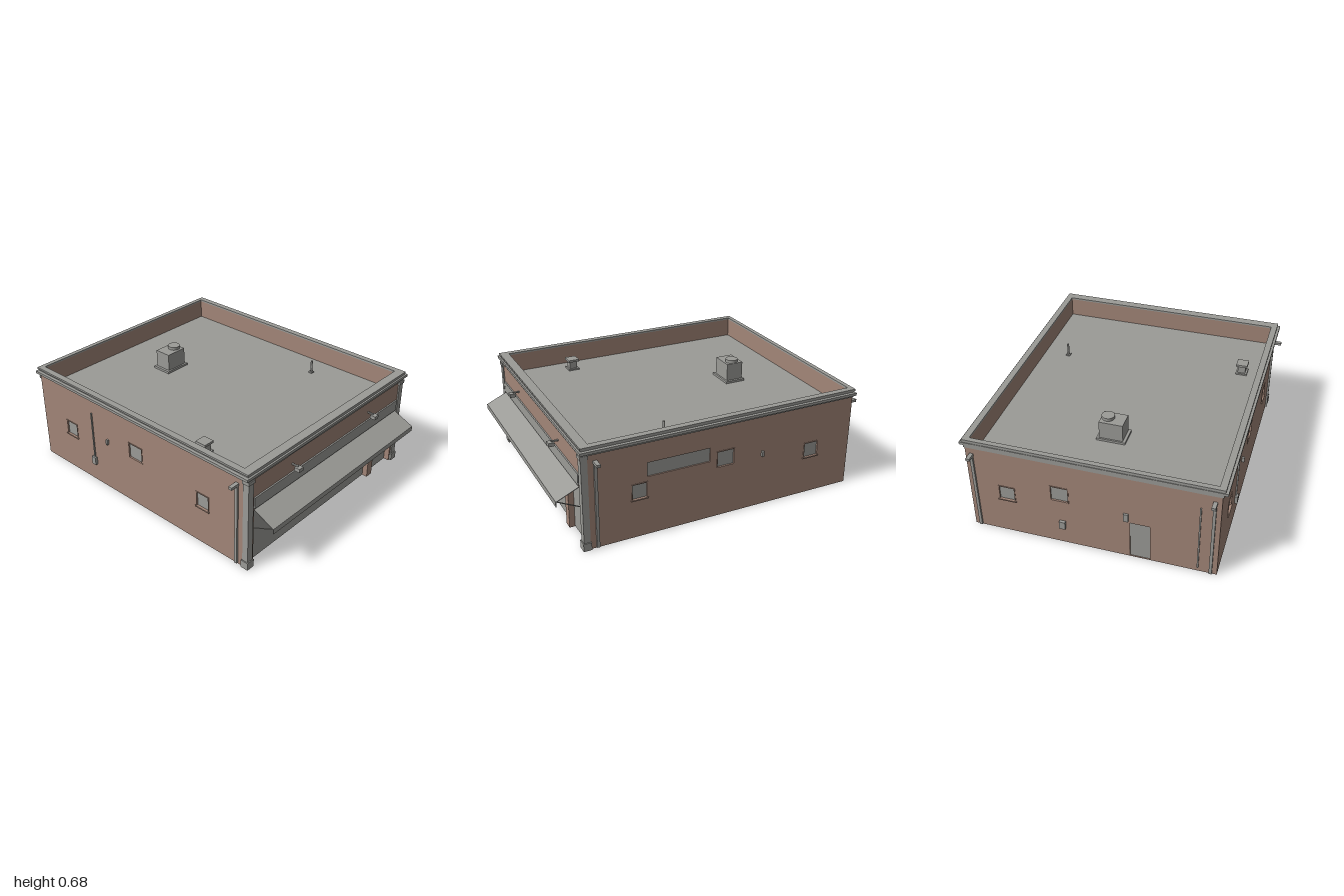
import * as THREE from 'three';

const grey = new THREE.MeshStandardMaterial({ color: 0x9b9b97, side: THREE.DoubleSide });
grey.name = 'grey';
const brick = new THREE.MeshStandardMaterial({ color: 0xa28678 });
brick.name = 'brick';

// Outer and inner wall faces
const XO = 0.765, XI = 0.74, ZB = -0.945, ZBI = -0.92, ZF = 0.857, ZFI = 0.81, WALL_TOP = 0.65;

function add(parent, name, geo, mat, x = 0, y = 0, z = 0) {
  const m = new THREE.Mesh(geo, mat);
  m.name = name;
  m.position.set(x, y, z);
  parent.add(m);
  return m;
}

// Box given by its limits
function box(parent, name, mat, x0, x1, y0, y1, z0, z1) {
  const geo = new THREE.BoxGeometry(Math.abs(x1 - x0), y1 - y0, Math.abs(z1 - z0));
  return add(parent, name, geo, mat, (x0 + x1) / 2, (y0 + y1) / 2, (z0 + z1) / 2);
}

// Box on a wall: u runs along the wall, d is the distance out from its face
function wallBox(parent, name, mat, side, u0, u1, y0, y1, d0, d1) {
  if (side === 'back') return box(parent, name, mat, u0, u1, y0, y1, ZB - d0, ZB - d1);
  const s = side === 'right' ? 1 : -1;
  return box(parent, name, mat, s * (XO + d0), s * (XO + d1), y0, y1, u0, u1);
}

function rect(Type, u0, u1, v0, v1) {
  const p = new Type();
  p.moveTo(u0, v0);
  p.lineTo(u1, v0);
  p.lineTo(u1, v1);
  p.lineTo(u0, v1);
  p.closePath();
  return p;
}

function plate(outer, holes, depth) {
  const s = rect(THREE.Shape, ...outer);
  s.holes = holes.map((h) => rect(THREE.Path, ...h));
  return new THREE.ExtrudeGeometry(s, { depth, bevelEnabled: false });
}

// Horizontal frame running round the building
function ring(parent, name, xo, z0, z1, xi, zi0, zi1, y0, y1) {
  const geo = plate([-xo, xo, -z1, -z0], [[-xi, xi, -zi1, -zi0]], y1 - y0);
  geo.rotateX(-Math.PI / 2);
  add(parent, name, geo, grey, 0, y0, 0);
}

// Openings: [u0, u1, y0, y1, kind]
const sideWindows = [
  [0.47, 0.56, 0.255, 0.35, 'sill'],
  [-0.10, 0.01, 0.335, 0.435, 'framed'],
  [-0.705, -0.61, 0.255, 0.35, 'sill'],
];
const openings = {
  right: [...sideWindows, [0.06, 0.465, 0.385, 0.475, 'plain']],
  left: sideWindows,
  back: [
    [0.48, 0.575, 0.255, 0.35, 'sill'],
    [0.14, 0.245, 0.33, 0.43, 'framed'],
    [-0.36, -0.237, 0.002, 0.27, 'door'],
  ],
};

function buildWalls(root) {
  const walls = new THREE.Group();
  walls.name = 'walls';
  root.add(walls);
  for (const side of ['right', 'left', 'back']) {
    const holes = openings[side].map((o) => o.slice(0, 4));
    if (side === 'back') {
      add(walls, 'backWall', plate([-XI, XI, 0, WALL_TOP], holes, ZBI - ZB), brick, 0, 0, ZB);
    } else {
      const geo = plate([ZB, ZF, 0, WALL_TOP], holes, XO - XI);
      geo.rotateY(-Math.PI / 2);
      add(walls, side + 'Wall', geo, brick, side === 'right' ? XO : -XI, 0, 0);
    }
    for (const [u0, u1, y0, y1, kind] of openings[side]) {
      const name = kind === 'door' ? 'backDoor' : 'windowPane';
      wallBox(walls, name, grey, side, u0, u1, y0, y1, -0.016, -0.008);
      if (kind === 'sill') wallBox(walls, 'windowSill', brick, side, u0 - 0.01, u1 + 0.01, y0 - 0.008, y0, -0.008, 0.008);
      if (kind === 'sill' || kind === 'framed') {
        const t = 0.006;
        for (const [a, b, c, d] of [
          [u0 - t, u0, y0 - t, y1 + t], [u1, u1 + t, y0 - t, y1 + t], [u0, u1, y1, y1 + t], [u0, u1, y0 - t, y0],
        ]) wallBox(walls, 'windowFrame', brick, side, a, b, c, d, -0.008, 0.003);
      }
    }
  }
  // Front wall: lintel and piers around the shopfront
  box(walls, 'frontLintel', brick, -XI, XI, 0.38, WALL_TOP, ZFI, ZF);
  for (const s of [-1, 1]) box(walls, 'frontPier', brick, s * 0.712, s * XI, 0, 0.38, ZFI, ZF);
  box(walls, 'shopfrontPier', brick, 0.45, 0.503, 0, 0.38, 0.822, ZF);
  box(walls, 'shopfrontPanel', grey, -0.712, 0.712, 0, 0.38, 0.813, 0.821);
}

function buildFront(root) {
  const front = new THREE.Group();
  front.name = 'front';
  root.add(front);
  box(front, 'signBoard', grey, -0.715, 0.715, 0.402, 0.476, ZF, 0.866);

  // Awning: sloping sheet, valance and end braces
  const run = 0.138, drop = 0.063;
  const sheet = add(front, 'awningSheet', new THREE.BoxGeometry(1.43, 0.004, Math.hypot(run, drop)), grey, 0, 0.361, 0.928);
  sheet.rotation.x = Math.atan2(drop, run);
  box(front, 'awningValance', grey, -0.715, 0.715, 0.298, 0.332, 0.996, 1);
  for (const s of [-1, 1]) {
    const brace = add(front, 'awningBrace', new THREE.BoxGeometry(0.005, 0.005, 0.155), grey, s * 0.71, 0.296, 0.927);
    brace.rotation.x = -Math.atan2(0.068, 0.138);

    // Corner pilaster with base and capital
    box(front, 'pilasterShaft', grey, s * 0.727, s * 0.769, 0.05, 0.59, 0.825, 0.865);
    box(front, 'pilasterBase', grey, s * 0.721, s * 0.776, 0, 0.05, 0.82, 0.871);
    box(front, 'pilasterCapital', grey, s * 0.722, s * 0.774, 0.585, 0.607, 0.82, 0.87);

    // Lamp on an arm
    const x = s * 0.382;
    box(front, 'lampArm', grey, x - 0.005, x + 0.005, 0.525, 0.534, ZF, 0.9);
    box(front, 'lampHead', grey, x - 0.019, x + 0.019, 0.505, 0.528, 0.887, 0.923);
  }
}

function buildRoof(root) {
  const roof = new THREE.Group();
  roof.name = 'roof';
  root.add(roof);
  box(roof, 'roofDeck', grey, -XI, XI, 0.51, 0.525, ZBI, ZFI);

  // Cornice layers and coping
  const wall = [XO, ZB, ZF];
  ring(roof, 'corniceFrieze', 0.772, -0.948, 0.865, ...wall, 0.605, 0.624);
  ring(roof, 'corniceLedge', 0.795, -0.951, 0.876, ...wall, 0.624, 0.641);
  ring(roof, 'corniceTop', 0.775, -0.948, 0.865, ...wall, 0.641, 0.65);
  ring(roof, 'coping', 0.78, -0.95, 0.868, XI, ZBI, ZFI, 0.65, 0.662);

  // Air unit
  box(roof, 'airUnitCurb', grey, -0.095, 0.088, 0.525, 0.54, -0.57, -0.433);
  box(roof, 'airUnitBody', grey, -0.078, 0.072, 0.54, 0.655, -0.56, -0.445);
  add(roof, 'airUnitFan', new THREE.CylinderGeometry(0.04, 0.04, 0.02, 24), grey, 0.03, 0.665, -0.5);

  // Vent and pipe
  box(roof, 'ventBase', grey, -0.657, -0.583, 0.525, 0.535, 0.363, 0.437);
  box(roof, 'ventBody', grey, -0.645, -0.595, 0.535, 0.585, 0.375, 0.425);
  box(roof, 'ventCap', grey, -0.657, -0.583, 0.585, 0.6, 0.363, 0.437);
  box(roof, 'pipeBase', grey, 0.56, 0.588, 0.525, 0.533, 0.256, 0.284);
  add(roof, 'roofPipe', new THREE.CylinderGeometry(0.007, 0.007, 0.085, 10), grey, 0.574, 0.57, 0.27);
}

function buildFittings(root) {
  const fit = new THREE.Group();
  fit.name = 'wallFittings';
  root.add(fit);
  // Downpipes with their spouts
  for (const [side, u] of [['right', 0.78], ['left', 0.78], ['back', 0.727], ['back', -0.727]]) {
    wallBox(fit, 'downpipe', grey, side, u - 0.009, u + 0.009, 0.005, 0.55, 0, 0.012);
    wallBox(fit, 'spout', grey, side, u - 0.012, u + 0.012, 0.549, 0.566, 0, side === 'back' ? 0.055 : 0.06);
  }
  // Small boxes and conduits
  for (const side of ['right', 'left']) wallBox(fit, 'wallBox', grey, side, -0.306, -0.293, 0.34, 0.375, 0, 0.016);
  wallBox(fit, 'meterBox', grey, 'left', -0.46, -0.425, 0.13, 0.185, 0, 0.018);
  wallBox(fit, 'conduit', grey, 'left', -0.446, -0.438, 0.185, 0.51, 0, 0.008);
  wallBox(fit, 'conduit', grey, 'back', -0.654, -0.645, 0.03, 0.5, 0, 0.008);
  wallBox(fit, 'doorLamp', grey, 'back', -0.23, -0.2, 0.285, 0.34, 0, 0.013);
  wallBox(fit, 'meterBox', grey, 'back', 0.162, 0.2, 0.12, 0.175, 0, 0.018);
}

export function createModel() {
  const root = new THREE.Group();
  root.name = 'shopBuilding';
  buildWalls(root);
  buildFront(root);
  buildRoof(root);
  buildFittings(root);
  return root;
}
